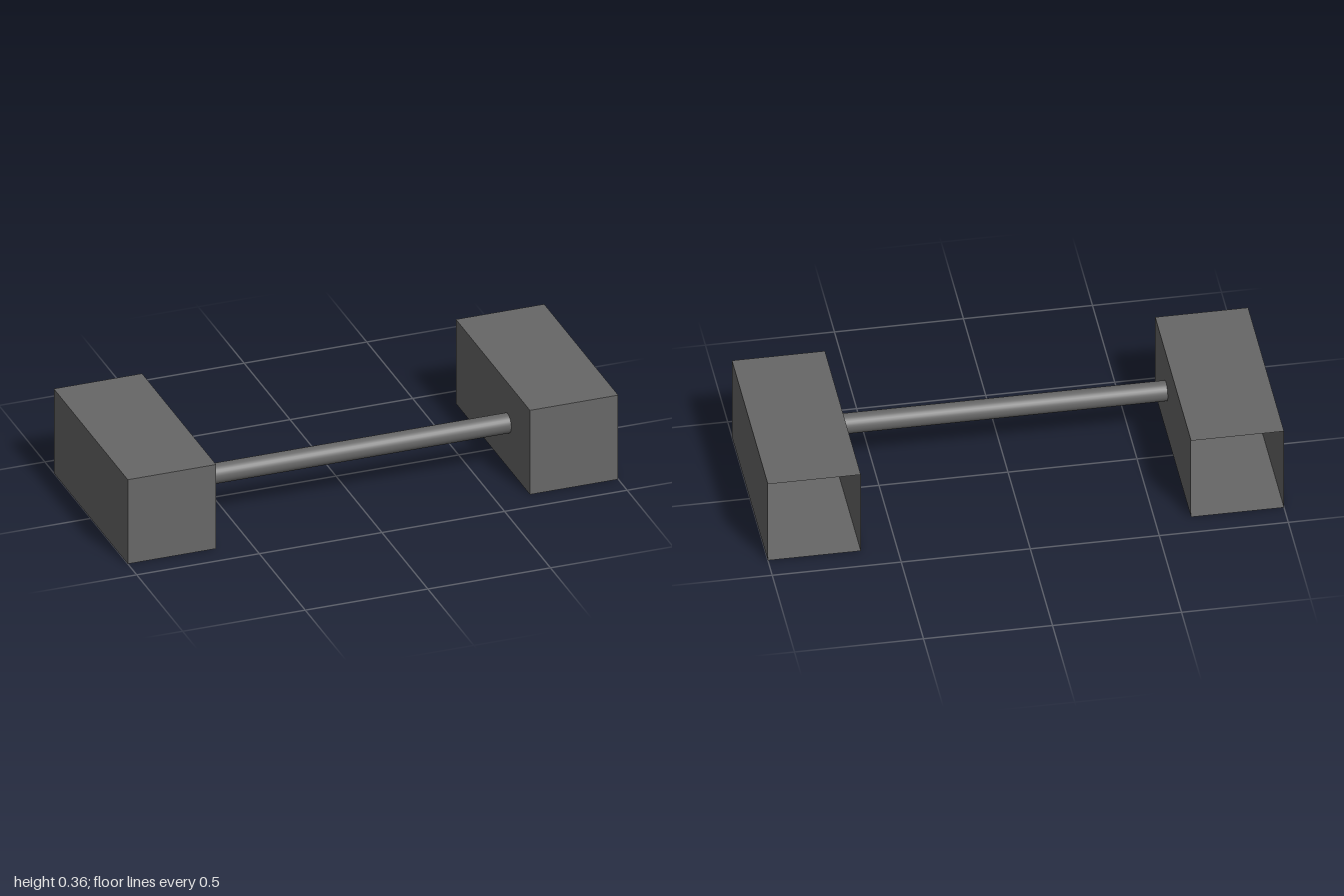
import * as THREE from 'three';

const WIDTH = 0.36, HEIGHT = 0.362, DEPTH = 0.806;
const BAR_RADIUS = 0.04;

// Thin-walled box with its back (-z) side left open
function openBackBox(w, h, d) {
  const geometry = new THREE.BoxGeometry(w, h, d);
  geometry.setIndex(Array.from(geometry.index.array).slice(0, 30)); // drop the -z face
  geometry.clearGroups();
  return geometry;
}

export function createModel() {
  const model = new THREE.Group();
  model.name = 'boxesWithCrossbar';
  const material = new THREE.MeshStandardMaterial({ color: 0x676767, side: THREE.DoubleSide });

  // Two matching hollow boxes
  const boxGeometry = openBackBox(WIDTH, HEIGHT, DEPTH);
  for (const side of [1, -1]) {
    const box = new THREE.Mesh(boxGeometry, material);
    box.name = side > 0 ? 'leftBox' : 'rightBox';
    box.position.set(side * (1 - WIDTH / 2), HEIGHT / 2, 0);
    model.add(box);
  }

  // Round bar joining the inner walls, nearer the front
  const barGeometry = new THREE.CylinderGeometry(BAR_RADIUS, BAR_RADIUS, 2 * (1 - WIDTH), 32, 1, true);
  barGeometry.rotateZ(Math.PI / 2);
  const bar = new THREE.Mesh(barGeometry, material);
  bar.name = 'crossbar';
  bar.position.set(0, 0.19, 0.16);
  model.add(bar);

  return model;
}
